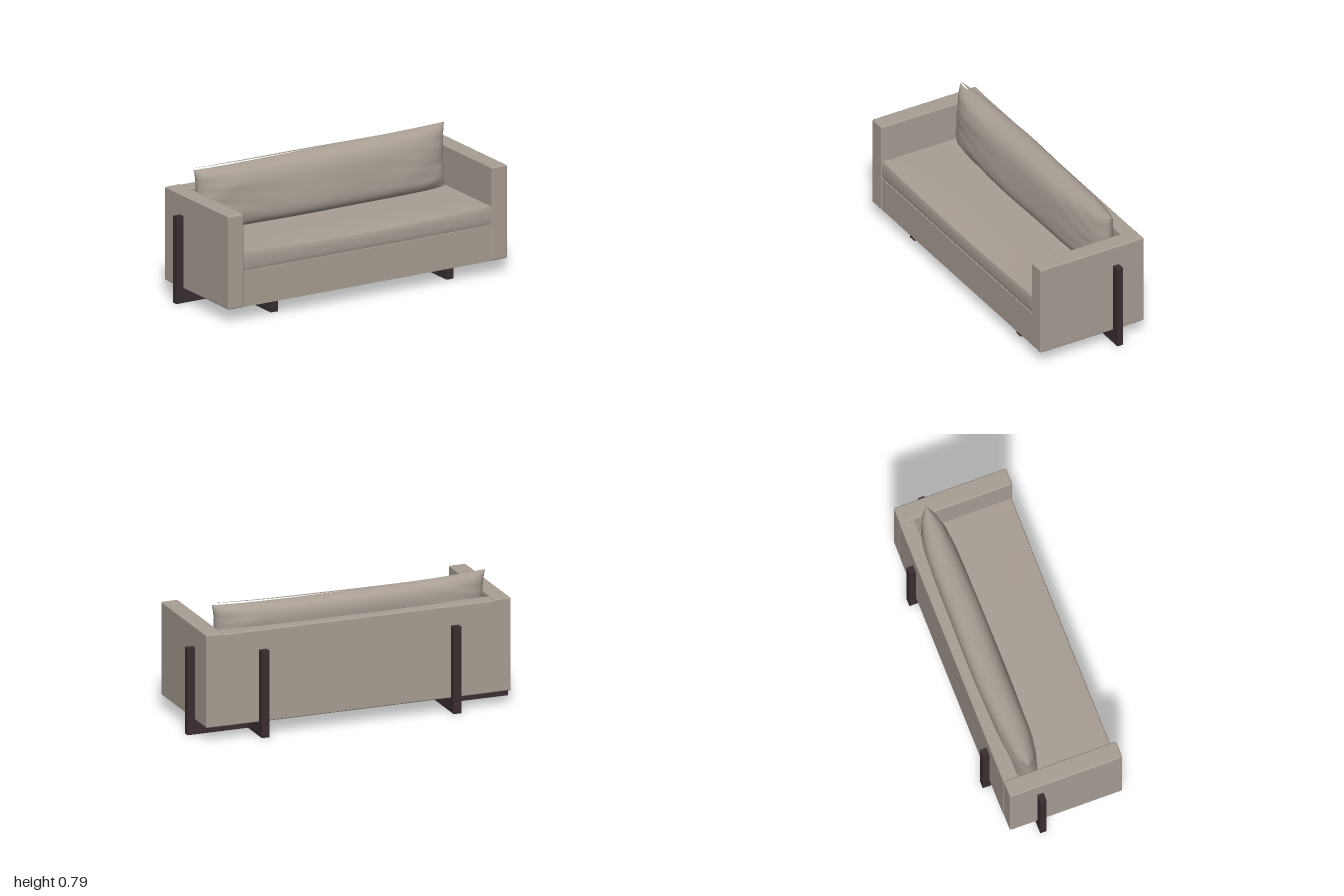
import * as THREE from 'three';
import { RoundedBoxGeometry } from 'three/addons/geometries/RoundedBoxGeometry.js';

export function createModel() {
  const sofa = new THREE.Group();
  sofa.name = 'sofa';
  const fabric = new THREE.MeshStandardMaterial({ color: 0xa89e94 });
  fabric.name = 'warm grey fabric';
  const wood = new THREE.MeshStandardMaterial({ color: 0x3a2e30 });
  wood.name = 'dark wood';

  function add(name, geometry, material) {
    const mesh = new THREE.Mesh(geometry, material);
    mesh.name = name;
    sofa.add(mesh);
    return mesh;
  }
  // Boxes are given by their limits on each axis; r rounds the edges
  function block(name, [x0, x1], [y0, y1], [z0, z1], material, r = 0) {
    const size = [x1 - x0, y1 - y0, z1 - z0];
    const g = r ? new RoundedBoxGeometry(...size, 3, r) : new THREE.BoxGeometry(...size);
    g.translate((x0 + x1) / 2, (y0 + y1) / 2, (z0 + z1) / 2);
    return add(name, g, material);
  }
  // Moves every vertex by a rule
  function warp(g, rule) {
    const p = g.attributes.position;
    const v = new THREE.Vector3();
    for (let i = 0; i < p.count; i++) {
      rule(v.fromBufferAttribute(p, i));
      p.setXYZ(i, v.x, v.y, v.z);
    }
    g.computeVertexNormals();
    return g;
  }

  // Upholstered body
  block('back', [-0.85, 0.85], [0.085, 0.645], [-0.328, -0.235], fabric, 0.008);
  for (const side of [-1, 1]) {
    const label = side > 0 ? 'left' : 'right';
    const span = (a, b) => (side > 0 ? [a, b] : [-b, -a]);
    block(label + 'Arm', span(0.846, 0.951), [0.085, 0.65], [-0.326, 0.369], fabric, 0.008);

    // Wooden frame: two floor beams, each rising into an upright
    block(label + 'LongBeam', span(0.575, 0.623), [0, 0.085], [-0.332, 0.308], wood);
    block(label + 'BackPost', span(0.575, 0.623), [0, 0.526], [-0.37, -0.329], wood);
    block(label + 'SideBeam', span(0.623, 0.952), [0, 0.085], [-0.157, -0.119], wood);
    block(label + 'SidePost', span(0.952, 1), [0, 0.526], [-0.157, -0.119], wood);
  }

  // Seat base with a slightly sagging underside
  const base = new THREE.BoxGeometry(1.694, 0.214, 0.61, 24, 1, 16);
  base.translate(0, 0.192, 0.06);
  add('seatBase', warp(base, (v) => {
    if (v.y < 0.1) {
      const a = Math.max(0, 1 - (v.x / 0.847) ** 6);
      const b = Math.max(0, 1 - ((v.z - 0.06) / 0.305) ** 2);
      v.y -= 0.022 * a * b;
    }
  }), fabric);

  // Seat cushion, softly dipped along its front edge
  const seat = new THREE.BoxGeometry(1.69, 0.112, 0.61, 32, 6, 20);
  seat.translate(0, 0.357, 0.061);
  add('seatCushion', warp(seat, (v) => {
    const top = (v.y - 0.301) / 0.112;
    const x = v.x / 0.845;
    const front = Math.max(0, (v.z - 0.1) / 0.266);
    v.y -= top * 0.018 * (1 - x * x) * front ** 2;
    if (v.z > 0.36) v.z -= 0.006 * (2 * top - 1) ** 4;
  }), fabric);

  // Loose back pillow: front and back skins that meet in an edge seam
  for (const face of [1, -1]) {
    const skin = new THREE.PlaneGeometry(2, 2, 64, 28);
    warp(skin, (v) => {
      const s = Math.sin(v.x * Math.PI / 2);
      const t = Math.sin(v.y * Math.PI / 2);
      const fullness = Math.sqrt(Math.max(0, (1 - s ** 8) * (1 - t ** 4)));
      const folds = 0.006 * Math.sin(9 * s + 5 * t) * Math.sin(14 * s * t) * s * s
        + 0.004 * Math.sin(7 * s) * t;
      const corner = (s * t) ** 4;
      const depth = 0.1 * fullness * (0.88 + 0.12 * (1 - s * s)) + folds * fullness;
      const y = 0.585 + t * (0.184 + 0.012 * corner) + 0.006 * s * Math.max(0, t);
      const z = -0.158 - 0.026 * t + 0.018 * s * s * t;
      v.set(face * s * (0.842 + 0.012 * corner - 0.008 * (1 - t * t)), y, z + face * depth);
    });
    add(face > 0 ? 'backPillowFront' : 'backPillowRear', skin, fabric);
  }
  return sofa;
}
